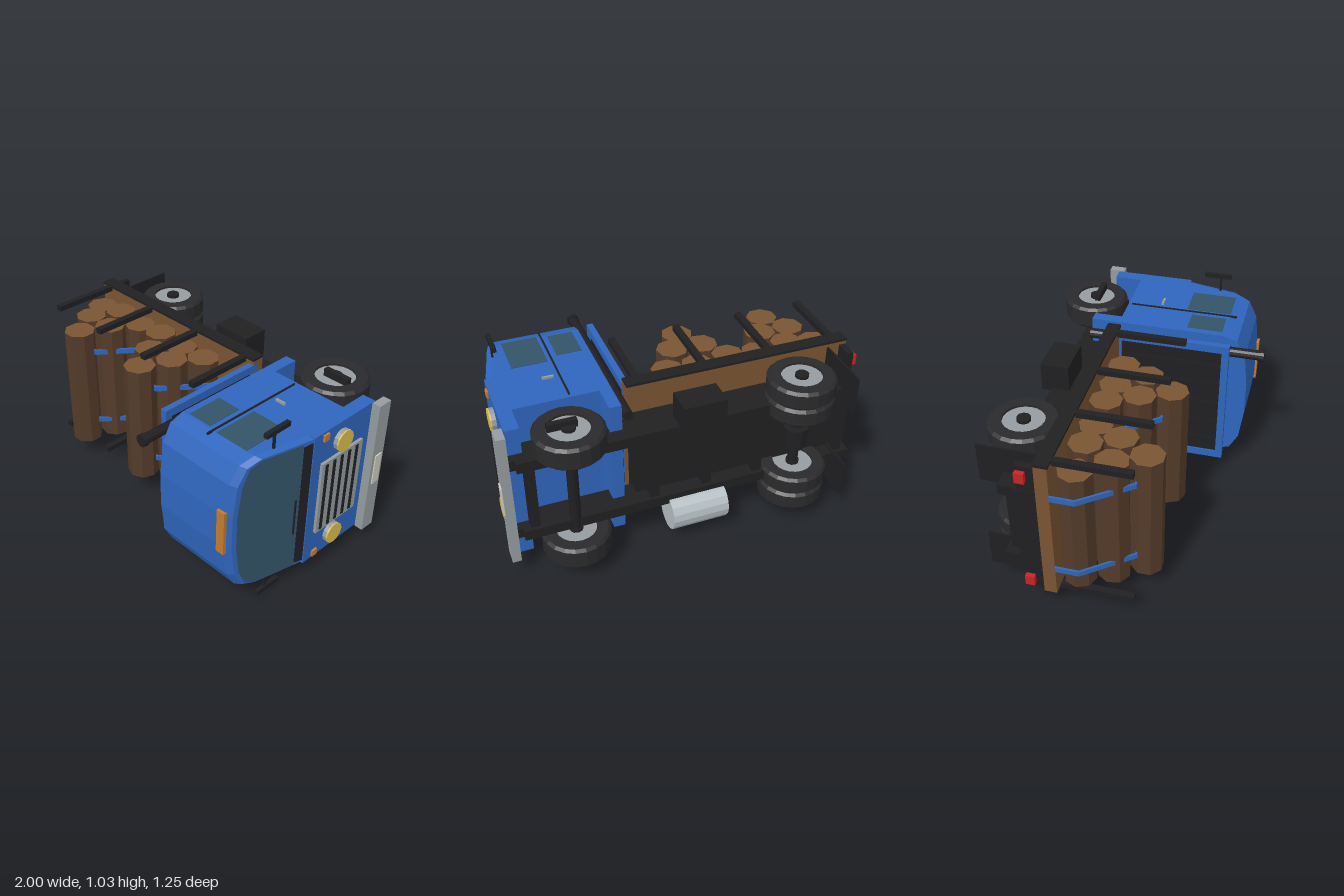
import * as THREE from 'three';

// The truck lies on its side: nose +x, roof +z, width along y around MID.
const MID = 0.52;
const mats = {};
const mat = (color) => (mats[color] ??= new THREE.MeshStandardMaterial({ color, flatShading: true, side: THREE.DoubleSide }));
const BLUE = 0x2f66bd, BLACK = 0x202022, TIRE = 0x2a2a2c, GREY = 0x959c9f, WOOD = 0x7a5431, BARK = 0x533b29,
  GLASS = 0x335468, ORANGE = 0xc47c2c, YELLOW = 0xd9be4c, RED = 0xcc2222, SILVER = 0xb4bec2, PLATE = 0xcfcbbf;

export function createModel() {
  const root = new THREE.Group();
  root.name = 'logTruck';

  const add = (name, geo, color) => {
    const m = new THREE.Mesh(geo, Array.isArray(color) ? color.map(mat) : mat(color));
    m.name = name;
    root.add(m);
    return m;
  };
  const box = (name, color, x0, x1, y0, y1, z0, z1) => {
    const m = add(name, new THREE.BoxGeometry(x1 - x0, y1 - y0, z1 - z0), color);
    m.position.set((x0 + x1) / 2, (y0 + y1) / 2, (z0 + z1) / 2);
    return m;
  };
  // Box and its mirror across the truck's centre plane
  const pair = (name, color, x0, x1, y0, y1, z0, z1) => {
    box(name, color, x0, x1, y0, y1, z0, z1);
    box(name, color, x0, x1, 2 * MID - y1, 2 * MID - y0, z0, z1);
  };
  const cyl = (name, color, r, len, axis, x, y, z, sides = 16) => {
    const g = new THREE.CylinderGeometry(r, r, len, sides);
    if (axis === 'x') g.rotateZ(-Math.PI / 2);
    if (axis === 'z') g.rotateX(Math.PI / 2);
    const m = add(name, g, color);
    m.position.set(x, y, z);
    return m;
  };

  // Chassis
  pair('frameRail', BLACK, -0.97, 0.915, 0.715, 0.775, -0.46, -0.375);
  box('subframe', BLACK, -0.98, 0.285, 0.265, 0.775, -0.375, -0.262);
  for (const x of [-0.9, -0.4, -0.1, 0.2, 0.85]) box('crossMember', BLACK, x - 0.025, x + 0.025, 0.325, 0.715, -0.44, -0.375);
  pair('cabMount', BLACK, 0.28, 0.9, 0.715, 0.775, -0.376, -0.3);
  box('rearBeam', BLACK, -0.975, -0.94, 0.12, 0.92, -0.36, -0.265);
  pair('tailLight', RED, -1, -0.972, 0.835, 0.895, -0.355, -0.305);
  pair('mudFlap', BLACK, -0.875, -0.865, 0.7, 0.92, -0.59, -0.265);
  cyl('fuelTank', SILVER, 0.105, 0.32, 'x', -0.035, 0.19, -0.435);
  box('batteryBox', BLACK, -0.165, 0.07, 0.76, 0.92, -0.515, -0.36);

  // Wheels: lathed tyre, recessed rim, hub
  const wheel = (name, x, outer, width, side) => {
    const w = width / 2;
    const profile = [[0.11, -w], [0.17, -w], [0.185, -w + 0.015], [0.185, w - 0.015], [0.17, w], [0.11, w], [0.11, -w]];
    const y = MID + side * (outer - w);
    const tyre = add(name, new THREE.LatheGeometry(profile.map((p) => new THREE.Vector2(...p)), 20), TIRE);
    tyre.position.set(x, y, -0.44);
    cyl(name + 'Rim', GREY, 0.112, width - 0.025, 'y', x, y, -0.44, 20);
    cyl(name + 'Hub', BLACK, 0.037, width + 0.01, 'y', x, y, -0.44, 10);
  };
  for (const side of [-1, 1]) {
    wheel('frontWheel', 0.64, 0.395, 0.13, side);
    wheel('rearOuterWheel', -0.62, 0.395, 0.107, side);
    wheel('rearInnerWheel', -0.62, 0.285, 0.105, side);
  }
  for (const x of [0.64, -0.62]) cyl('axle', BLACK, 0.03, 0.6, 'y', x, MID, -0.44, 10);
  cyl('differential', BLACK, 0.07, 0.12, 'y', -0.62, MID, -0.44, 10);

  // Flatbed with edge rails and stakes
  box('deck', WOOD, -0.983, 0.285, 0.1, 0.94, -0.262, -0.195);
  pair('deckRail', BLACK, -0.985, 0.285, 0.938, 0.952, -0.265, -0.19);
  for (const x of [-0.917, -0.543, -0.163, 0.215]) pair('stake', BLACK, x - 0.018, x + 0.018, 0.92, 0.95, -0.19, 0.2);

  // Headboard: blue frame around a dark barred panel
  box('headboardPanel', BLACK, 0.26, 0.275, 0.15, 0.89, -0.2, 0.42);
  pair('headboardPost', BLUE, 0.25, 0.285, 0.87, 0.915, -0.22, 0.435);
  for (const z of [-0.2, 0.415]) box('headboardBeam', BLUE, 0.25, 0.285, 0.125, 0.915, z - 0.02, z + 0.02);
  for (let i = 1; i < 6; i++) box('headboardBar', BLACK, 0.254, 0.281, 0.13 + i * 0.13 - 0.01, 0.13 + i * 0.13 + 0.01, -0.2, 0.41);

  // Two log piles, three rows each, with straps
  const strap = (points, y) => {
    for (let i = 1; i < points.length; i++) {
      const [ax, az] = points[i - 1], [bx, bz] = points[i];
      const m = add('strap', new THREE.BoxGeometry(Math.hypot(bx - ax, bz - az) + 0.01, 0.03, 0.012), BLUE);
      m.position.set((ax + bx) / 2, y, (az + bz) / 2);
      m.rotation.y = -Math.atan2(bz - az, bx - ax);
    }
  };
  [-0.705, -0.175].forEach((cx, pile) => {
    for (let row = 0; row < 3; row++) {
      for (let i = 0; i < 3 - row; i++) {
        const k = pile * 2 + row * 3 + i * 2;
        const log = cyl('log', [BARK, WOOD, WOOD], 0.089, 0.71 + (k % 4) * 0.014, 'y',
          cx + (i - (2 - row) / 2) * 0.175, MID + ((k % 3) - 1) * 0.008, -0.096 + row * 0.154, 8);
        log.rotation.y = 0.2 * k;
      }
    }
    for (const y of [0.28, 0.757]) {
      strap([[-0.278, -0.19], [-0.278, -0.07], [-0.09, 0.175], [0.09, 0.175], [0.278, -0.07], [0.278, -0.19]].map(([x, z]) => [cx + x, z]), y);
    }
  });

  // Exhaust stack
  cyl('exhaustStack', BLACK, 0.028, 1.0, 'z', 0.317, 0.85, 0.12, 12);
  cyl('exhaustTip', BLACK, 0.034, 0.025, 'z', 0.317, 0.85, 0.613, 12);

  // Lower cab: side profile with wheel arch, extruded across the width
  const profile = [[0.35, -0.38], [0.415, -0.38], [0.415, -0.22], [0.865, -0.22], [0.865, -0.38], [0.94, -0.38], [0.94, 0.083], [0.35, 0.083]];
  const lower = new THREE.ExtrudeGeometry(new THREE.Shape(profile.map((p) => new THREE.Vector2(...p))), { depth: 0.81, bevelEnabled: false });
  lower.rotateX(Math.PI / 2).translate(0, 0.925, 0);
  add('cabLower', lower, BLUE);

  // Upper cab: rounded roof section swept forward to a raked, bevelled front
  const frontX = (z) => 0.922 - 0.23 * (z - 0.13);
  const half = [[0.405, 0.08], [0.405, 0.385], [0.378, 0.465], [0.285, 0.515], [0.1, 0.537]];
  const section = [...half, ...half.map(([y, z]) => [-y, z]).reverse()];
  const n = section.length;
  const pos = [], idx = [];
  for (const [y, z] of section) pos.push(0.35, MID + y, z);
  for (const [y, z] of section) pos.push(frontX(z) - 0.03, MID + y, z);
  for (const [y, z] of section) {
    const fz = 0.08 + (z - 0.08) * 0.95;
    pos.push(frontX(fz), MID + y * 0.975, fz);
  }
  for (let r = 0; r < 2; r++) {
    for (let i = 0; i < n; i++) {
      const a = r * n + i, b = r * n + ((i + 1) % n);
      idx.push(a, b, b + n, a, b + n, a + n);
    }
  }
  for (let i = 1; i < n - 1; i++) idx.push(0, i + 1, i, 2 * n, 2 * n + i, 2 * n + i + 1);
  const upper = new THREE.BufferGeometry();
  upper.setAttribute('position', new THREE.Float32BufferAttribute(pos, 3));
  upper.setIndex(idx);
  upper.computeVertexNormals();
  add('cabUpper', upper, BLUE);

  // Flat panels laid on the raked front
  const frontPanel = (name, color, pts, lift) => {
    const g = new THREE.ShapeGeometry(new THREE.Shape(pts.map((p) => new THREE.Vector2(...p))));
    const p = g.attributes.position;
    for (let i = 0; i < p.count; i++) {
      const y = p.getX(i), z = p.getY(i);
      p.setXYZ(i, frontX(z) + lift, MID + y, z);
    }
    g.computeVertexNormals();
    add(name, g, color);
  };
  const glass = [[0.388, 0.14], [0.388, 0.375], [0.36, 0.435], [0.27, 0.472], [0.1, 0.492]];
  frontPanel('windshield', GLASS, [...glass, ...glass.map(([y, z]) => [-y, z]).reverse()], 0.004);
  frontPanel('cowl', BLACK, [[-0.38, 0.086], [0.38, 0.086], [0.375, 0.14], [-0.375, 0.14]], 0.005);
  const wiper = box('wiper', BLACK, 0.918, 0.926, 0.36, 0.58, 0.158, 0.166);
  wiper.position.x = frontX(0.162) + 0.006;

  // Doors, side windows, steps, mirrors
  pair('rearSideWindow', GLASS, 0.39, 0.53, 0.92, 0.928, 0.17, 0.37);
  pair('doorWindow', GLASS, 0.59, 0.785, 0.92, 0.928, 0.13, 0.385);
  pair('doorSeam', BLACK, 0.561, 0.57, 0.92, 0.931, -0.2, 0.425);
  pair('doorHandle', GREY, 0.6, 0.66, 0.92, 0.938, -0.028, -0.015);
  pair('step', BLACK, 0.59, 0.745, 0.9, 0.945, -0.435, -0.405);
  pair('mirrorArm', BLACK, 0.85, 0.86, 0.9, 1.02, 0.272, 0.285);
  pair('mirror', BLACK, 0.843, 0.867, 1.01, 1.035, 0.18, 0.34);
  box('roofMarker', ORANGE, 0.76, 0.81, 0.39, 0.65, 0.52, 0.548);

  // Nose: grille, lights, bumper
  box('grille', GREY, 0.935, 0.956, 0.295, 0.742, -0.295, 0.02);
  for (let i = 0; i < 5; i++) {
    const z = -0.013 - i * 0.0585;
    box('grilleSlot', BLACK, 0.94, 0.96, 0.31, 0.728, z - 0.01, z + 0.01);
  }
  for (const s of [-1, 1]) {
    cyl('headlightRing', GREY, 0.06, 0.03, 'x', 0.95, MID + s * 0.302, -0.125, 12);
    cyl('headlight', YELLOW, 0.061, 0.008, 'x', 0.967, MID + s * 0.302, -0.125, 12);
  }
  pair('turnSignal', ORANGE, 0.935, 0.952, 0.875, 0.913, -0.017, 0.02);
  box('bumper', GREY, 0.945, 0.993, 0.112, 0.927, -0.44, -0.35);
  pair('bumperBracket', BLACK, 0.9, 0.95, 0.715, 0.775, -0.43, -0.375);
  box('numberPlate', PLATE, 0.99, 1, 0.428, 0.612, -0.42, -0.37);

  return root;
}
